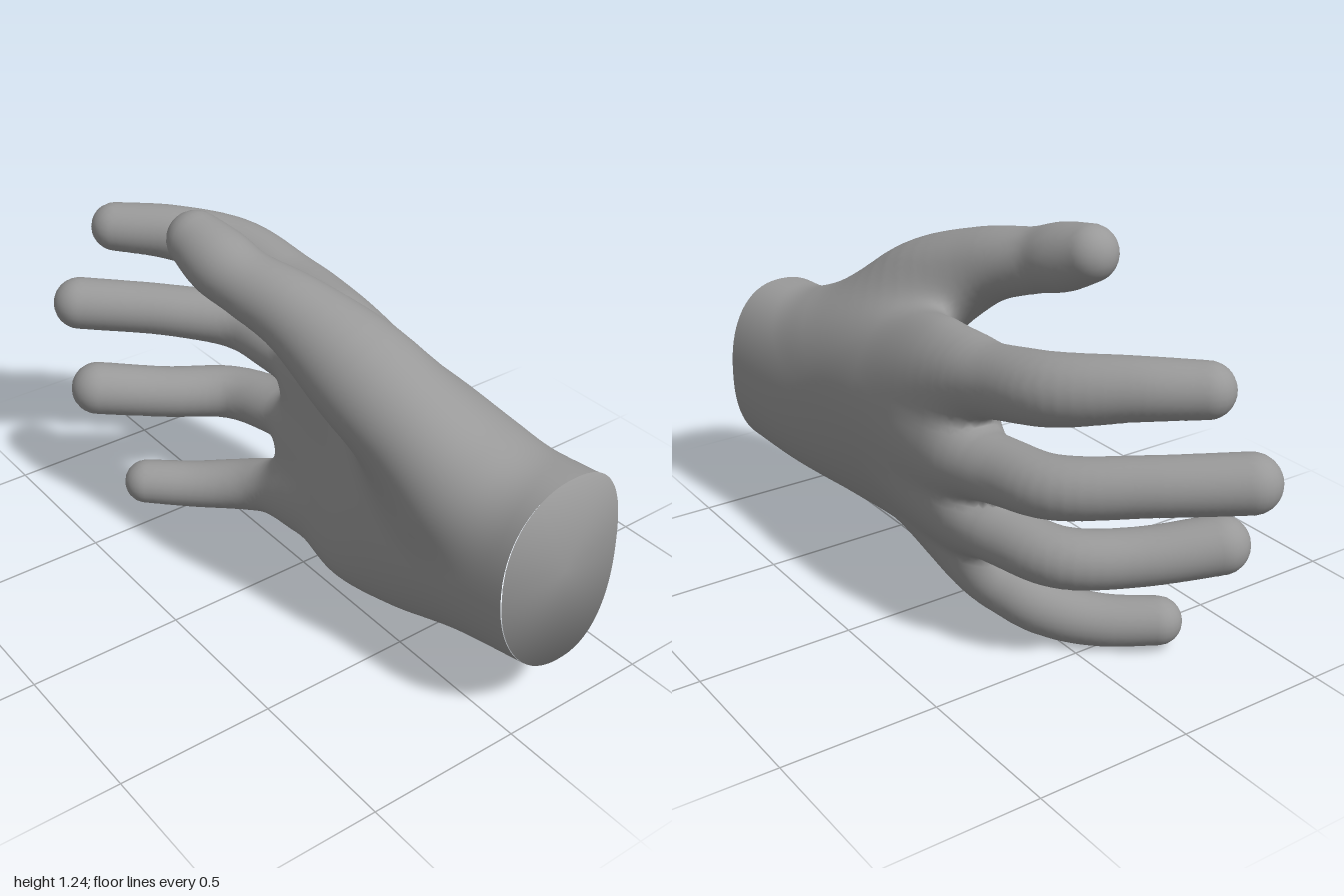
import * as THREE from 'three';

// Centre lines: x, y, z, radius, from the root inside the palm to the tip
const digits = {
  indexFinger: [[.15, .7, .25, .07], [.168, .815, -.12, .112], [.158, .865, -.33, .108], [.12, .903, -.53, .104], [-.01, .935, -.705, .09], [-.15, .945, -.84, .08]],
  middleFinger: [[.16, .58, .25, .07], [.195, .59, -.15, .108], [.175, .605, -.37, .1], [.13, .62, -.56, .092], [-.045, .645, -.735, .087], [-.268, .665, -.912, .088]],
  ringFinger: [[.15, .42, .25, .07], [.168, .395, -.15, .104], [.145, .38, -.36, .096], [.08, .37, -.535, .09], [-.1, .375, -.66, .087], [-.298, .405, -.775, .089]],
  littleFinger: [[.1, .3, .25, .06], [.1, .19, -.1, .098], [.06, .13, -.28, .092], [0, .098, -.39, .086], [-.1, .082, -.495, .08], [-.23, .088, -.6, .075]],
  thumb: [[.05, .69, .64, .16], [-.04, .885, .4, .168], [-.12, 1.025, .16, .122], [-.18, 1.08, -.02, .102], [-.205, 1.115, -.13, .105], [-.22, 1.152, -.235, .088]],
};

// Palm sections along z: centre x, centre y, half width, half height, lean, bow
const palmZ = [-.25, -.1, 0, .25, .5, .75, 1];
const palmRows = [
  [.16, .515, .105, .40, .10, .06],
  [.165, .52, .135, .43, .12, .07],
  [.165, .525, .15, .432, .12, .075],
  [.13, .505, .187, .40, .15, .06],
  [.112, .495, .215, .36, .10, .02],
  [.137, .492, .225, .317, .03, 0],
  [.168, .505, .219, .305, .02, 0],
];
const palmCurve = new THREE.CubicInterpolant(palmZ, palmRows.flat(), 6);
const POWER = 2.25;

function palmDistance(x, y, z) {
  const [cx, cy, hx, hy, lean, bow] = palmCurve.evaluate(Math.min(1, Math.max(-.25, z)));
  const v = (y - cy) / hy;
  const u = (x - cx - lean * (y - cy) + bow * Math.min(v * v, 2)) / hx;
  const a = Math.abs(u) + 1e-6, b = Math.abs(v) + 1e-6;
  const k = (a ** POWER + b ** POWER) ** (1 / POWER);
  const slope = Math.hypot((a / k) ** (POWER - 1) / hx, (b / k) ** (POWER - 1) / hy);
  return -blend(-(k - 1) / slope, z + .23, .1);
}

// Smooth minimum
function blend(a, b, k) {
  const h = Math.max(k - Math.abs(a - b), 0);
  return Math.min(a, b) - h * h / (4 * k);
}

// Smooth each centre line into a chain of round cones
const chains = Object.values(digits).map(rows => {
  const curve = new THREE.CubicInterpolant(rows.map((_, i) => i), rows.flat(), 4);
  const n = 30;
  return Array.from({ length: n + 1 }, (_, i) => [...curve.evaluate(i / n * (rows.length - 1))]);
});

function chainDistance(chain, x, y, z) {
  let best = Infinity;
  for (let i = 1; i < chain.length; i++) {
    const p = chain[i - 1], q = chain[i];
    const dx = q[0] - p[0], dy = q[1] - p[1], dz = q[2] - p[2], dr = q[3] - p[3];
    const ex = x - p[0], ey = y - p[1], ez = z - p[2];
    const l2 = dx * dx + dy * dy + dz * dz, foot = (ex * dx + ey * dy + ez * dz) / l2;
    const off = Math.sqrt(Math.max(0, ex * ex + ey * ey + ez * ez - foot * foot * l2));
    const lead = off * dr / Math.sqrt(Math.max(l2 - dr * dr, l2 * .05) * l2);
    const t = Math.min(1, Math.max(0, foot + lead));
    const d = Math.sqrt(off * off + (foot - t) ** 2 * l2) - p[3] - t * dr;
    if (d < best) best = d;
  }
  return best;
}

const partDistances = (x, y, z) => [...chains.map(c => chainDistance(c, x, y, z)), palmDistance(x, y, z)];

function field(x, y, z) {
  const [a, b, c, d, thumb, palm] = partDistances(x, y, z);
  const fingers = blend(blend(blend(a, b, .035), c, .035), d, .035);
  return blend(blend(palm, fingers, .08), thumb, .14);
}

function gradient([x, y, z]) {
  const e = .006;
  return new THREE.Vector3(
    field(x + e, y, z) - field(x - e, y, z),
    field(x, y + e, z) - field(x, y - e, z),
    field(x, y, z + e) - field(x, y, z - e)).divideScalar(2 * e);
}

// The wrist is cut at a slight slope, dipping a little at its sides
const wristZ = y => 1 - (y - .2) * .033 - .022 * (1 - ((y - .505) / .305) ** 2);

// Skin the blended field on a grid, sorting faces by nearest part
function skin() {
  const step = .02, size = [46, 70, 103], start = [-.46, -.06, .98 - 102 * step];
  const stride = [1, size[0], size[0] * size[1]];
  const at = (i, j, k) => i + j * stride[1] + k * stride[2];
  const values = new Float32Array(size[0] * size[1] * size[2]);
  const each = (lo, shrink, fn) => {
    for (let k = lo; k < size[2] - shrink; k++)
      for (let j = lo; j < size[1] - shrink; j++)
        for (let i = lo; i < size[0] - shrink; i++) fn(i, j, k);
  };
  each(0, 0, (i, j, k) => {
    values[at(i, j, k)] = field(start[0] + i * step, start[1] + j * step, start[2] + k * step);
  });

  const ids = new Int32Array(values.length).fill(-1);
  const positions = [], normals = [], owners = [];
  each(0, 1, (i, j, k) => {
    const base = at(i, j, k), sum = [0, 0, 0];
    let hits = 0;
    for (let a = 0; a < 3; a++) for (let m = 0; m < 4; m++) {
      const b = (a + 1) % 3, c = (a + 2) % 3, o = [0, 0, 0];
      o[b] = m & 1;
      o[c] = m >> 1;
      const n = base + at(...o), p = values[n], q = values[n + stride[a]];
      if ((p < 0) === (q < 0)) continue;
      o[a] = p / (p - q);
      for (let s = 0; s < 3; s++) sum[s] += o[s];
      hits++;
    }
    if (!hits) return;
    const point = [i, j, k].map((g, s) => start[s] + (g + sum[s] / hits) * step);
    // The last layer lies on the cut of the wrist
    if (k === size[2] - 2) point[2] = wristZ(point[1]);
    const g = gradient(point), move = field(...point) / Math.max(g.lengthSq(), .2);
    point[0] -= g.x * move;
    point[1] -= g.y * move;
    if (k < size[2] - 2) point[2] -= g.z * move;
    ids[base] = owners.length;
    positions.push(...point);
    normals.push(...gradient(point).normalize().toArray());
    const parts = partDistances(...point);
    owners.push(parts.indexOf(Math.min(...parts)));
  });

  const faces = Array.from({ length: 6 }, () => []);
  each(1, 1, (i, j, k) => {
    const n = at(i, j, k);
    for (let a = 0; a < 3; a++) {
      const inside = values[n] < 0;
      if (inside === (values[n + stride[a]] < 0)) continue;
      const b = stride[(a + 1) % 3], c = stride[(a + 2) % 3];
      const q = [ids[n - b - c], ids[n - c], ids[n], ids[n - b]];
      if (!inside) q.reverse();
      faces[owners[q[0]]].push(q[0], q[1], q[2], q[0], q[2], q[3]);
    }
  });

  return faces.map(index => {
    const g = new THREE.BufferGeometry();
    g.setAttribute('position', new THREE.Float32BufferAttribute(positions, 3));
    g.setAttribute('normal', new THREE.Float32BufferAttribute(normals, 3));
    g.setIndex(index);
    return g.toNonIndexed();
  });
}

// Cut end of the wrist, with normals that turn softly outward at the rim
function wristCap() {
  const [cx, cy, hx, hy, lean] = palmRows[palmRows.length - 1];
  const bend = t => Math.sign(t) * Math.abs(t) ** (2 / POWER);
  const g = new THREE.CircleGeometry(1, 72);
  const p = g.attributes.position, normal = new THREE.Vector3();
  for (let i = 0; i < p.count; i++) {
    const u = p.getX(i), v = p.getY(i);
    const dy = hy * bend(v) * 1.003, y = cy + dy;
    p.setXYZ(i, cx + hx * bend(u) * 1.003 + lean * dy, y, i ? wristZ(y) : wristZ(y) + .02);
    normal.set(u * .8, v * .8, 1).normalize();
    g.attributes.normal.setXYZ(i, normal.x, normal.y, normal.z);
  }
  return g;
}

export function createModel() {
  const group = new THREE.Group();
  group.name = 'hand';
  const grey = new THREE.MeshStandardMaterial({ color: 0x999999 });
  grey.name = 'grey';
  const add = (name, geometry) => {
    const mesh = new THREE.Mesh(geometry, grey);
    mesh.name = name;
    group.add(mesh);
  };
  const names = [...Object.keys(digits), 'palm'];
  skin().forEach((geometry, i) => add(names[i], geometry));
  add('wristCap', wristCap());
  return group;
}
